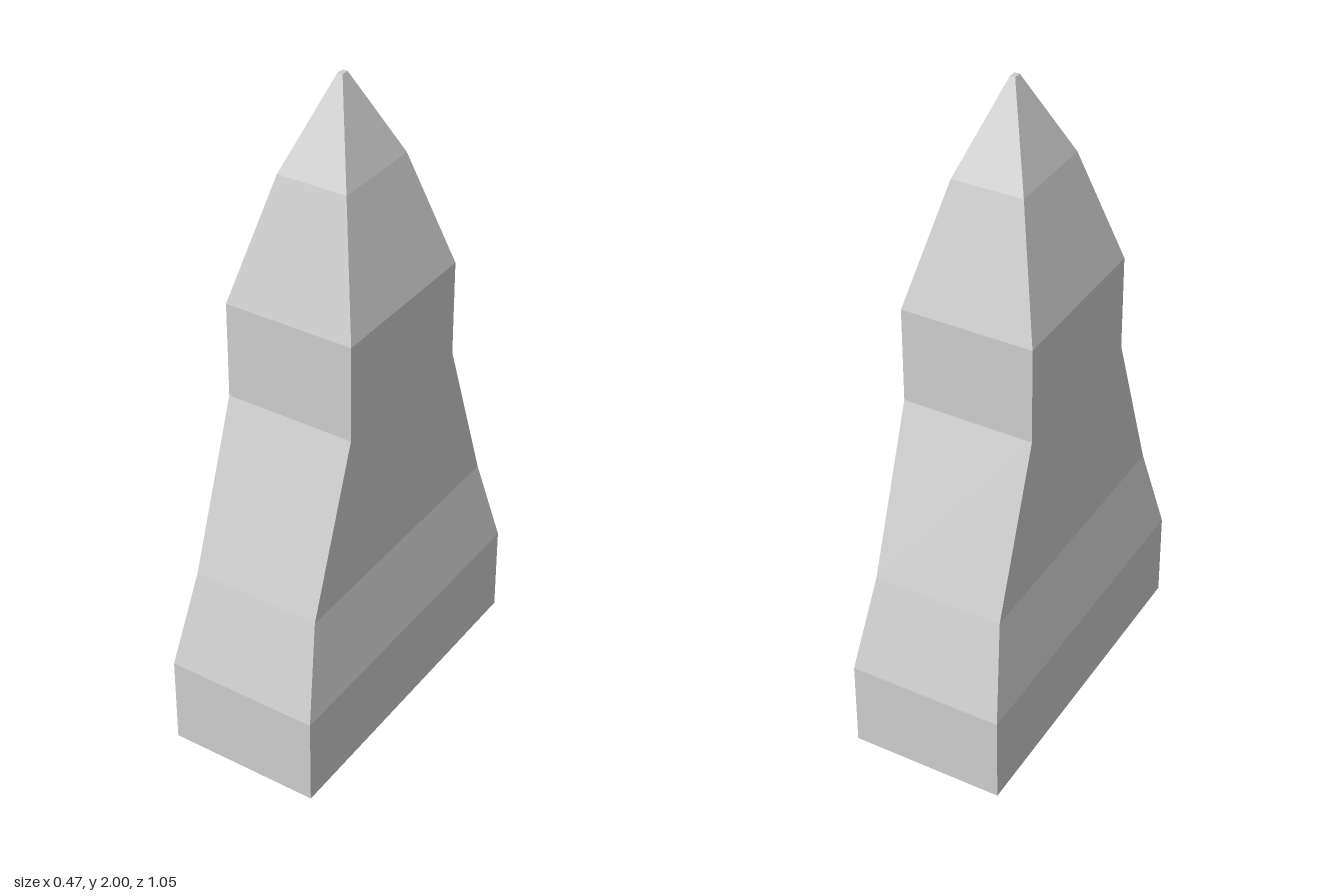
import * as THREE from 'three';

// Rectangular cross-sections from bottom to top: [y, half width, half depth]
const sections = [
  [0, 0.237, 0.523],
  [0.28, 0.237, 0.523],
  [0.575, 0.2, 0.44],
  [1.08, 0.2, 0.262],
  [1.375, 0.2, 0.262],
  [1.74, 0.108, 0.145],
  [2, 0.008, 0.012],
];
const names = ['base', 'lowerTaper', 'body', 'neck', 'lowerSpire', 'spireTip'];

const corners = ([y, w, d]) => [[-w, y, d], [w, y, d], [w, y, -d], [-w, y, -d]];

// Four-sided frustum between two sections, with optional end caps
function frustum(low, high, capBottom, capTop) {
  const a = corners(low), b = corners(high), pos = [];
  const quad = (p, q, r, s) => pos.push(...p, ...q, ...r, ...p, ...r, ...s);
  for (let i = 0; i < 4; i++) {
    const j = (i + 1) % 4;
    quad(a[i], a[j], b[j], b[i]);
  }
  if (capBottom) quad(a[3], a[2], a[1], a[0]);
  if (capTop) quad(b[0], b[1], b[2], b[3]);
  const geometry = new THREE.BufferGeometry();
  geometry.setAttribute('position', new THREE.Float32BufferAttribute(pos, 3));
  geometry.computeVertexNormals();
  return geometry;
}

export function createModel() {
  const group = new THREE.Group();
  group.name = 'spire';
  const stone = new THREE.MeshStandardMaterial({ color: 0xcccccc });
  stone.name = 'pale grey';

  // Stacked tiers, closed at the foot and at the tiny flat tip
  names.forEach((name, i) => {
    const geometry = frustum(sections[i], sections[i + 1], i === 0, i === names.length - 1);
    const mesh = new THREE.Mesh(geometry, stone);
    mesh.name = name;
    group.add(mesh);
  });
  return group;
}
